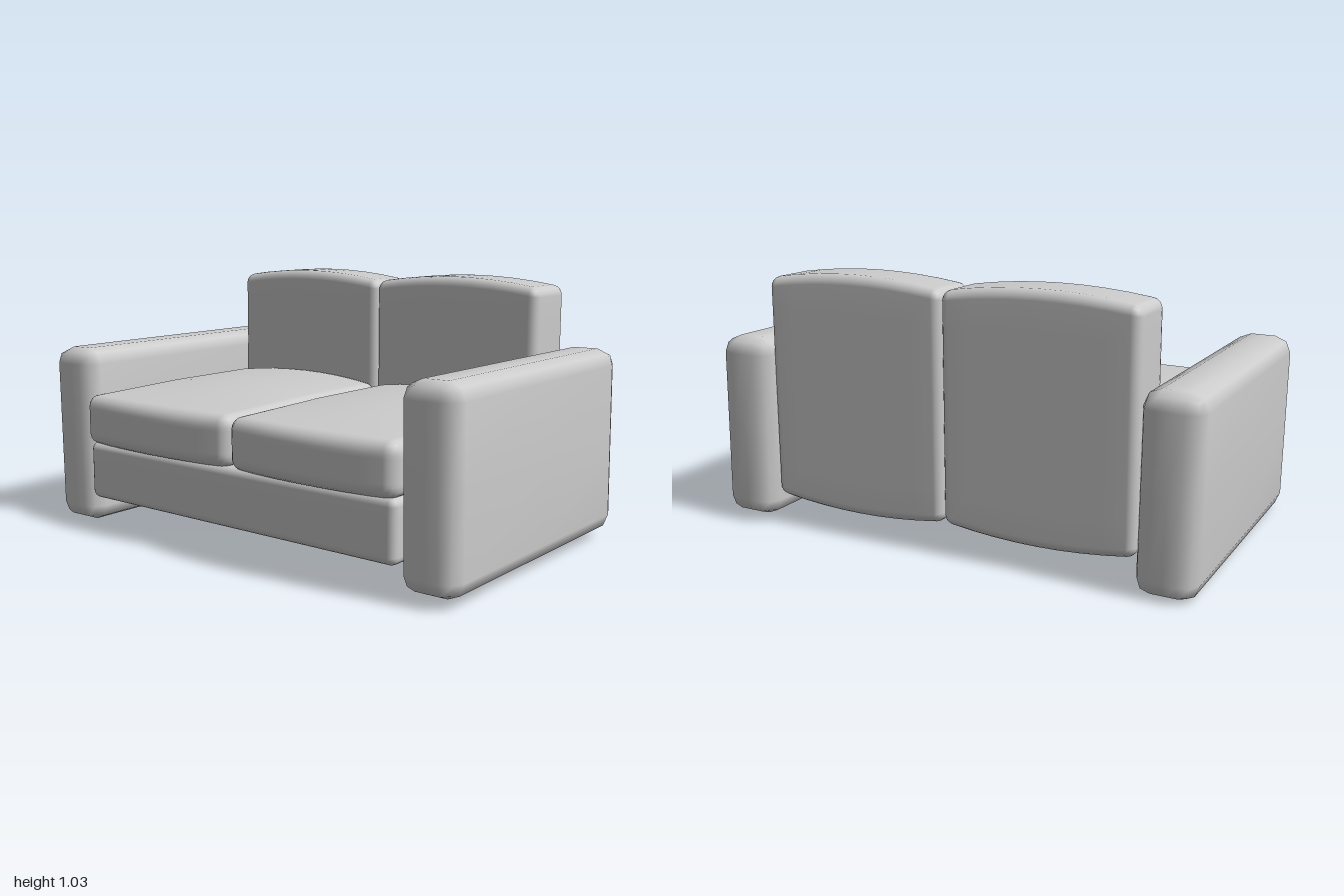
import * as THREE from 'three';
import { mergeVertices } from 'three/addons/utils/BufferGeometryUtils.js';

const material = new THREE.MeshStandardMaterial({ color: 0xcccccc });

// Box with rounded edges: k facets per half bevel, m divisions across the flats.
// bend(p, half) may then move each vertex.
function softBox(w, h, d, r, k, m, bend) {
  const n = 2 * k + m;
  const half = new THREE.Vector3(w / 2, h / 2, d / 2);
  const geometry = new THREE.BoxGeometry(2, 2, 2, n, n, n);
  geometry.deleteAttribute('uv');
  geometry.deleteAttribute('normal');
  const pos = geometry.attributes.position;
  const p = new THREE.Vector3(), inner = new THREE.Vector3(), out = new THREE.Vector3();
  for (let i = 0; i < pos.count; i++) {
    p.fromBufferAttribute(pos, i);
    for (const a of ['x', 'y', 'z']) {
      // Grid index along this axis, split into bevel and flat zones
      const g = Math.round((p[a] + 1) / 2 * n);
      const flat = half[a] - r;
      const s = Math.min(Math.max(g - k, 0), m) / m;
      inner[a] = flat * (2 * s - 1);
      const step = g < k ? g - k : Math.max(g - k - m, 0);
      out[a] = Math.tan(step / k * Math.PI / 4);
    }
    p.copy(inner).addScaledVector(out.normalize(), r);
    if (bend) bend(p, half);
    pos.setXYZ(i, p.x, p.y, p.z);
  }
  const merged = mergeVertices(geometry, 1e-5);
  merged.computeVertexNormals();
  return merged;
}

function add(parent, name, geometry, x, y, z) {
  const mesh = new THREE.Mesh(geometry, material);
  mesh.name = name;
  mesh.position.set(x, y, z);
  parent.add(mesh);
  return mesh;
}

const arch = (x, hx) => 1 - (x / hx) ** 2;

// Back cushions bow out along the top and bottom
const bowBack = (p, half) => {
  p.y += 0.032 * arch(p.x, half.x) * p.y / half.y;
};

// Seat cushions bow forward, with a crown that grows away from the front
const bowSeat = (p, half) => {
  const a = arch(p.x, half.x);
  const depth = Math.min((half.z - p.z) / half.z, 1);
  if (p.y > 0) p.y += (0.008 + 0.027 * a) * depth;
  p.z += 0.034 * a * p.z / half.z;
};

export function createModel() {
  const sofa = new THREE.Group();
  sofa.name = 'sofa';

  // Armrests, both leaning slightly to one side
  const arm = softBox(0.23, 0.728, 1.21, 0.065, 1, 2);
  add(sofa, 'rightArm', arm, -0.88, 0.37, -0.025).rotation.z = 0.014;
  add(sofa, 'leftArm', arm, 0.875, 0.398, -0.025).rotation.z = 0.014;

  // Base under the seat
  add(sofa, 'base', softBox(1.53, 0.235, 0.95, 0.03, 2, 4), 0, 0.242, 0.115);

  // Seat cushions
  const seats = [['rightSeatCushion', -0.785, 0.01], ['leftSeatCushion', 0.012, 0.765]];
  for (const [name, x0, x1] of seats) {
    add(sofa, name, softBox(x1 - x0, 0.2, 0.95, 0.045, 2, 8, bowSeat), (x0 + x1) / 2, 0.45, 0.115);
  }

  // Back cushions, turned very slightly as a pair
  const back = new THREE.Group();
  back.name = 'backrest';
  back.position.set(0, 0.565, -0.47);
  back.rotation.y = -0.009;
  sofa.add(back);
  const backCushion = softBox(0.763, 0.87, 0.235, 0.035, 2, 8, bowBack);
  add(back, 'rightBackCushion', backCushion, -0.382, 0, 0);
  add(back, 'leftBackCushion', backCushion, 0.382, 0, 0);

  return sofa;
}
